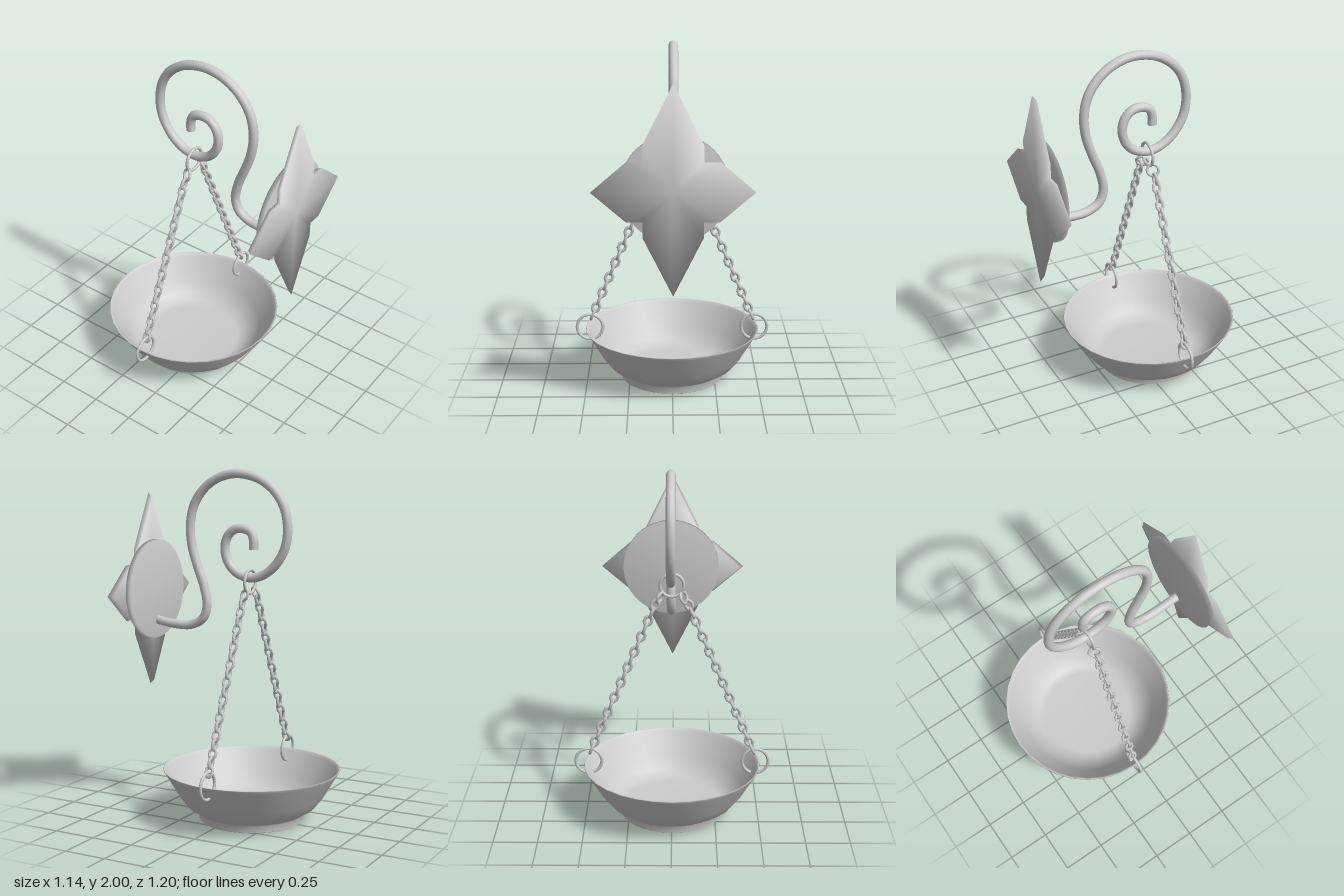
import * as THREE from 'three';
import { mergeVertices } from 'three/addons/utils/BufferGeometryUtils.js';

const mat = new THREE.MeshStandardMaterial({ color: 0xcccccc });
const CHAIN_Z = -0.075;

function add(parent, name, geometry, x = 0, y = 0, z = 0) {
  const mesh = new THREE.Mesh(geometry, mat);
  mesh.name = name;
  mesh.position.set(x, y, z);
  parent.add(mesh);
  return mesh;
}

// Four-pointed plate with stepped notches, narrower at the back, pillow-like normals
function starGeometry() {
  const quarter = [[0, 0.567], [0.16, 0.245], [0.16, 0.16], [0.245, 0.16]];
  const half = [...quarter, [0.43, 0], ...quarter.slice(1).reverse().map(([x, y]) => [x, -y])];
  const outline = [...half, ...half.map(([x, y]) => [-x, -y])];
  const n = outline.length, front = 2 * n, back = 2 * n + 1;
  const pos = [], normals = [], index = [];
  for (const [scale, z, lean] of [[1, 0.026, 0.9], [0.95, 0, -0.9]]) {
    for (const [x, y] of outline) {
      pos.push(x * scale, y * scale, z);
      normals.push(...new THREE.Vector2(x, y).normalize(), lean);
    }
  }
  pos.push(0, 0, 0.026, 0, 0, 0);
  normals.push(0, 0, 1, 0, 0, -1);
  for (let i = 0; i < n; i++) {
    const j = (i + 1) % n;
    index.push(front, j, i, back, n + i, n + j, i, j, n + i, j, n + j, n + i);
  }
  const g = new THREE.BufferGeometry();
  g.setAttribute('position', new THREE.Float32BufferAttribute(pos, 3));
  g.setAttribute('normal', new THREE.Float32BufferAttribute(normals, 3));
  g.setIndex(index);
  g.normalizeNormals();
  return g;
}

// Round backing disc with normals shared between rim and faces
function discGeometry() {
  const g = new THREE.CylinderGeometry(0.288, 0.288, 0.031, 48).rotateX(Math.PI / 2);
  g.deleteAttribute('normal');
  g.deleteAttribute('uv');
  const merged = mergeVertices(g);
  merged.computeVertexNormals();
  return merged;
}

// Scrolled bracket: S-bend from the wall disc into a spiral, as [z, y]
function scrollCurve() {
  const path = [
    [0.55, 1.118], [0.43, 1.1], [0.31, 1.103], [0.23, 1.145], [0.203, 1.22], [0.222, 1.33],
    [0.267, 1.45], [0.302, 1.565], [0.31, 1.69], [0.28, 1.805], [0.205, 1.9], [0.105, 1.957],
    [-0.005, 1.974], [-0.135, 1.945], [-0.237, 1.873], [-0.294, 1.777], [-0.311, 1.655], [-0.288, 1.552],
    [-0.224, 1.46], [-0.14, 1.406], [-0.056, 1.396], [0.022, 1.428], [0.07, 1.489], [0.084, 1.563],
    [0.063, 1.627], [0.019, 1.664], [-0.032, 1.669], [-0.082, 1.65], [-0.1, 1.605], [-0.1, 1.553],
  ];
  return new THREE.CatmullRomCurve3(path.map(([z, y]) => new THREE.Vector3(0.006, y, z)));
}

// One hanging chain; side is +1 or -1
function chain(side) {
  const group = new THREE.Group();
  group.name = side > 0 ? 'leftChain' : 'rightChain';
  const tilt = side * 0.4;
  // Eight-sided links, each turned a quarter from the last
  const link = new THREE.TorusGeometry(0.021, 0.009, 6, 8).rotateZ(Math.PI / 8).scale(1, 1.35, 1);
  const count = 20;
  for (let i = 0; i < count; i++) {
    const t = i / (count - 1);
    const x = side * THREE.MathUtils.lerp(0.094, 0.467, t);
    const y = THREE.MathUtils.lerp(1.26, 0.382, t);
    const m = add(group, 'chainLink', link, x, y, CHAIN_Z);
    m.rotation.set(0, i % 2 ? Math.PI / 2 : 0, tilt, 'ZYX');
  }
  // Connecting ring at the top and large ring through the bowl rim
  const top = add(group, 'topChainRing', new THREE.TorusGeometry(0.032, 0.008, 8, 20), side * 0.066, 1.303, CHAIN_Z);
  top.rotation.set(0, Math.PI / 2 - 0.5, tilt, 'ZYX');
  add(group, 'bowlRing', new THREE.TorusGeometry(0.076, 0.009, 8, 32), side * 0.485, 0.305, CHAIN_Z);
  return group;
}

export function createModel() {
  const model = new THREE.Group();
  model.name = 'hangingBowl';

  // Wall mount
  add(model, 'starPlate', starGeometry(), 0, 1.292, 0.573);
  add(model, 'mountDisc', discGeometry(), 0.008, 1.3, 0.551);

  // Bracket with closed inner end
  const curve = scrollCurve();
  add(model, 'scrollBracket', new THREE.TubeGeometry(curve, 160, 0.026, 12));
  const end = curve.getPoint(1);
  const cap = add(model, 'bracketEnd', new THREE.CircleGeometry(0.026, 12), end.x, end.y, end.z);
  cap.lookAt(end.clone().add(curve.getTangent(1)));

  // Hanging ring and chains
  add(model, 'hangingRing', new THREE.TorusGeometry(0.066, 0.009, 8, 28), 0, 1.373, CHAIN_Z);
  model.add(chain(1), chain(-1));

  // Footed bowl: thin wall with a rounded lip, inside following the outside
  const profile = [
    [0, 0], [0.297, 0], [0.302, 0.004], [0.302, 0.04], [0.32, 0.053], [0.37, 0.084], [0.42, 0.148],
    [0.5, 0.283], [0.51, 0.298], [0.507, 0.301], [0.5, 0.298], [0.49, 0.283], [0.407, 0.148],
    [0.36, 0.09], [0.315, 0.062], [0.27, 0.048], [0, 0.045],
  ].map(([r, y]) => new THREE.Vector2(r, y));
  add(model, 'bowl', new THREE.LatheGeometry(profile, 32), 0, 0, -0.087);

  return model;
}
